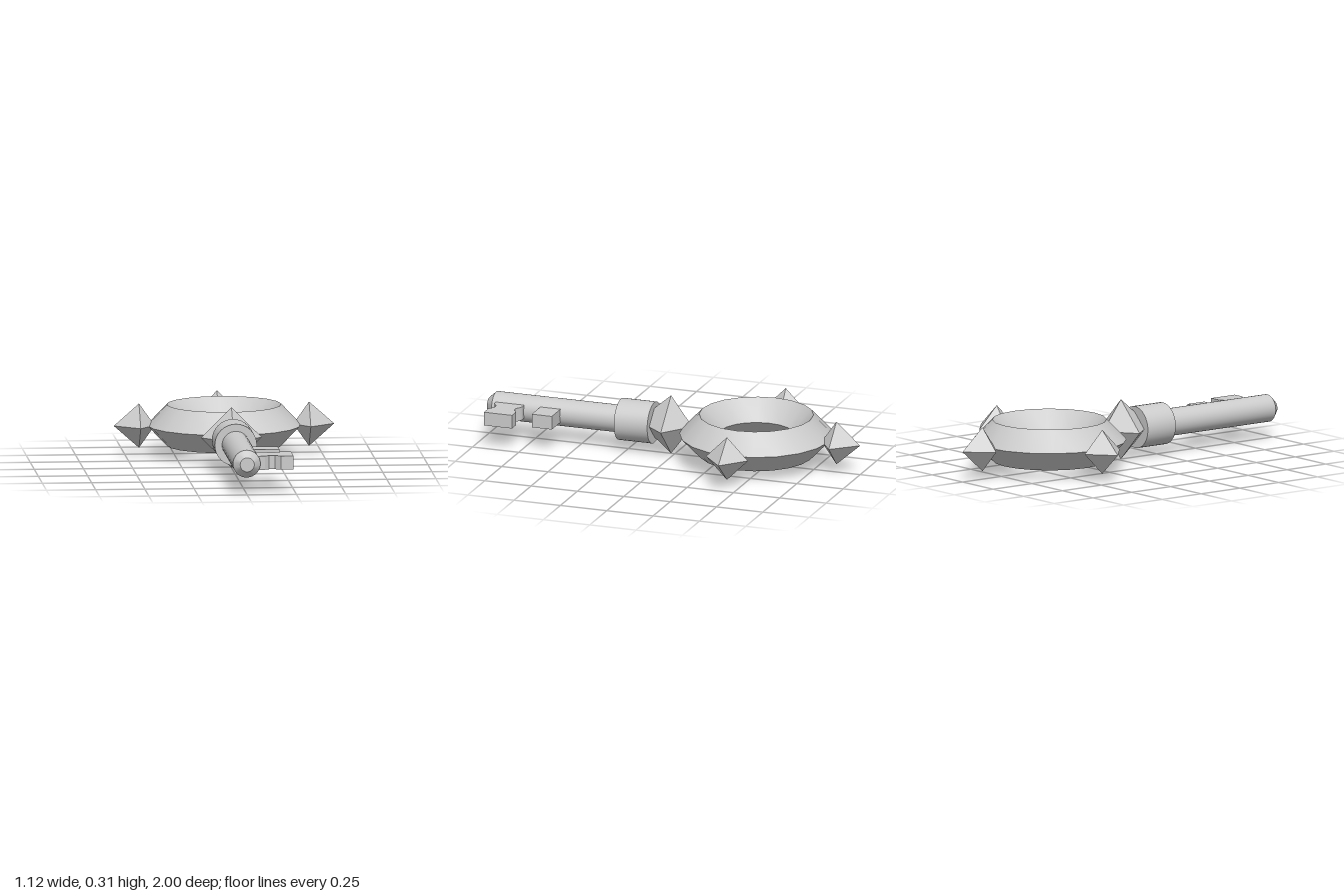
import * as THREE from 'three';
import { toCreasedNormals } from 'three/addons/utils/BufferGeometryUtils.js';

const MID = 0.155;      // height of the key's centre plane
const RING_Z = -0.44;   // centre of the bow

export function createModel() {
  const model = new THREE.Group();
  const material = new THREE.MeshStandardMaterial({ color: 0xcccccc });

  const add = (name, geometry, x, y, z) => {
    const mesh = new THREE.Mesh(geometry, material);
    mesh.name = name;
    mesh.position.set(x, y, z);
    model.add(mesh);
    return mesh;
  };

  // Turned part with crisp edges between its bands
  const turned = (points, segments) => toCreasedNormals(
    new THREE.LatheGeometry(points.map(([r, h]) => new THREE.Vector2(r, h)), segments), 0.55);

  // Four-sided spike along z with a long outer tip and a shorter inner one
  const spikeGeometry = (half, outer, inner) => {
    const geometry = new THREE.OctahedronGeometry(1, 0);
    const p = geometry.attributes.position;
    for (let i = 0; i < p.count; i++) {
      const z = p.getZ(i);
      p.setXYZ(i, p.getX(i) * half, p.getY(i) * half, z * (z > 0 ? outer : inner));
    }
    geometry.computeVertexNormals();
    return geometry;
  };

  // Bow: ring with a diamond cross-section
  add('bowRing', turned(
    [[0.39, 0], [0.29, 0.105], [0.19, 0], [0.29, -0.105], [0.39, 0]], 20), 0, MID, RING_Z);

  // Spikes on the left, back and right of the bow
  const spike = spikeGeometry(0.113, 0.128, 0.08);
  [['leftSpike', Math.PI / 2], ['backSpike', Math.PI], ['rightSpike', -Math.PI / 2]]
    .forEach(([name, angle]) => {
      const mesh = add(name, spike, Math.sin(angle) * 0.432, MID, RING_Z + Math.cos(angle) * 0.432);
      mesh.rotation.y = angle;
    });

  // Larger spike joining the bow to the collar
  add('neckSpike', spikeGeometry(0.154, 0.18, 0.115), 0, MID, 0.02);

  // Collar and stem with a chamfered end
  add('collar', turned(
    [[0, 0.11], [0.107, 0.11], [0.107, 0.29], [0, 0.29]], 32).rotateX(Math.PI / 2), 0, MID, 0);
  add('stem', turned(
    [[0, 0.2], [0.07, 0.2], [0.07, 0.963], [0.036, 1], [0, 1]], 32).rotateX(Math.PI / 2), 0, MID, 0);

  // Bit: outlines in (x, z), extruded upwards
  const tooth = (name, outline) => {
    const shape = new THREE.Shape(outline.map(([x, z]) => new THREE.Vector2(x, -z)));
    const geometry = new THREE.ExtrudeGeometry(shape, { depth: 0.07, bevelEnabled: false });
    add(name, geometry.rotateX(-Math.PI / 2), 0, MID - 0.035, 0);
  };
  tooth('innerTooth', [[0.04, 0.595], [0.187, 0.595], [0.187, 0.703], [0.04, 0.703]]);
  tooth('outerTooth', [
    [0.04, 0.79], [0.09, 0.79], [0.105, 0.795], [0.127, 0.81], [0.153, 0.81], [0.18, 0.79], [0.24, 0.79],
    [0.24, 0.942], [0.175, 0.942], [0.148, 0.921], [0.116, 0.921], [0.095, 0.937], [0.08, 0.942], [0.04, 0.942],
  ]);

  return model;
}
